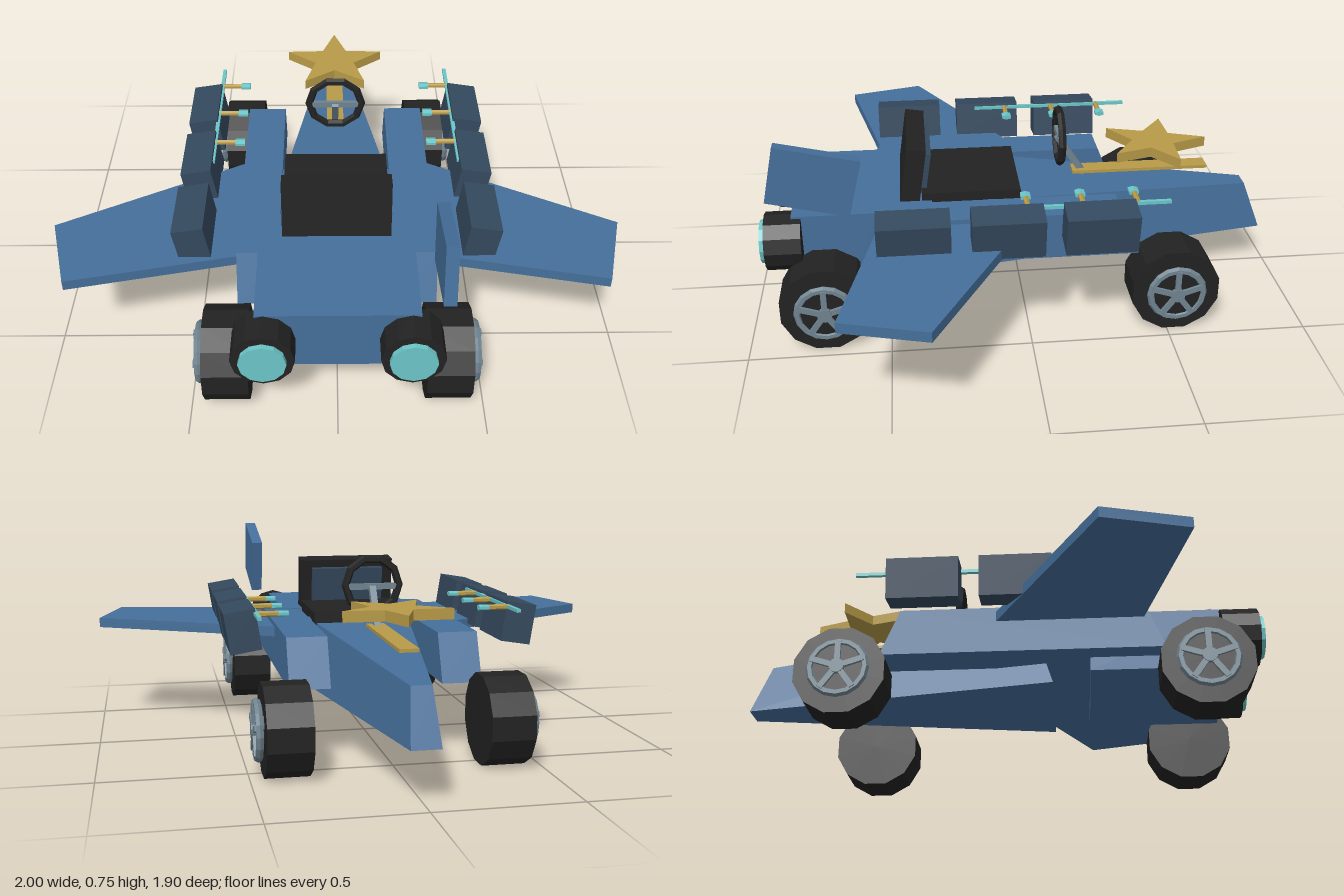
import * as THREE from 'three';

const mat = (name, color) => {
  const m = new THREE.MeshStandardMaterial({ color });
  m.name = name;
  return m;
};

export function createModel() {
  const blue = mat('body blue', 0x456f9a);
  const navy = mat('dark slate', 0x34495e);
  const black = mat('black', 0x222222);
  const teal = mat('teal', 0x6cc5c8);
  const gold = mat('gold', 0xb89b48);
  const steel = mat('steel', 0x708490);
  const root = new THREE.Group();
  root.name = 'wingedKart';

  // faceted mesh placed in a parent
  function add(name, geo, material, pos = [0, 0, 0], rot = [0, 0, 0], parent = root) {
    const g = geo.index ? geo.toNonIndexed() : geo;
    g.computeVertexNormals();
    const mesh = new THREE.Mesh(g, material);
    mesh.name = name;
    mesh.position.set(...pos);
    mesh.rotation.set(...rot);
    parent.add(mesh);
    return mesh;
  }
  const box = (w, h, d) => new THREE.BoxGeometry(w, h, d);
  const shapeOf = (pts) => new THREE.Shape(pts.map(([a, b]) => new THREE.Vector2(a, b)));
  const extrude = (pts, depth) =>
    new THREE.ExtrudeGeometry(shapeOf(pts), { depth, bevelEnabled: false });
  // side profile of [z, y] points, centred across x
  const profile = (pts, width) =>
    extrude(pts, width).translate(0, 0, -width / 2).rotateY(-Math.PI / 2);
  // plan of [x, z] points, hanging down from its top
  const plan = (pts, thick) => extrude(pts, thick).rotateX(Math.PI / 2);
  // cylinder lying along x
  const drumX = (r, len, sides) =>
    new THREE.CylinderGeometry(r, r, len, sides).rotateY(Math.PI / sides).rotateZ(Math.PI / 2);

  // tapered nose: a box with its corners pulled in
  const nose = box(2, 2, 2);
  const p = nose.attributes.position;
  for (let i = 0; i < p.count; i++) {
    const top = p.getY(i) > 0, wide = p.getZ(i) > 0;
    const half = wide ? (top ? 0.2 : 0.245) : (top ? 0.035 : 0.05);
    const y = top ? (wide ? 0.43 : 0.365) : 0.18;
    const z = wide ? (top ? 0.13 : 0.2) : (top ? -0.88 : -0.95);
    p.setXYZ(i, p.getX(i) * half, y, z);
  }
  add('nose', nose, blue);

  // main body and floor
  add('rearBody', box(0.54, 0.225, 0.5), blue, [0, 0.3225, 0.585]);
  add('floor', box(0.42, 0.16, 0.5), blue, [0, 0.34, 0.3]);

  // seat
  add('seatBase', box(0.38, 0.05, 0.36), black, [0, 0.438, 0.19]);
  const back = new THREE.Group();
  back.name = 'backrest';
  back.position.set(0, 0.525, 0.4);
  back.rotation.x = -0.15;
  root.add(back);
  add('backrestFrame', box(0.38, 0.22, 0.07), black, [0, 0, 0], [0, 0, 0], back);
  add('backrestCushion', box(0.29, 0.15, 0.025), navy, [0, 0.005, -0.045], [0, 0, 0], back);

  // steering wheel and column
  add('steeringWheel', new THREE.TorusGeometry(0.1, 0.015, 6, 10), black, [0, 0.585, -0.155]);
  add('steeringSpoke', box(0.19, 0.022, 0.015), steel, [0, 0.58, -0.155]);
  add('steeringColumn', box(0.024, 0.19, 0.024), steel, [0, 0.505, -0.2], [0.58, 0, 0]);

  // star ornament over a strip
  const star = [];
  for (let i = 0; i < 10; i++) {
    const r = i % 2 ? 0.082 : 0.2, a = (i * Math.PI) / 5;
    star.push([r * Math.sin(a), -r * Math.cos(a)]);
  }
  add('star', plan(star, 0.038), gold, [0, 0.555, -0.518]);
  add('noseStrip', box(0.066, 0.012, 0.52), gold, [0, 0.444, -0.465]);

  // single tail fin on the left
  add('tailFin', profile([[0.86, 0.75], [0.57, 0.685], [0.62, 0.478], [0.905, 0.545]], 0.042),
    blue, [0.346, 0, 0]);

  for (const s of [1, -1]) {
    // side pod and swept wing
    add('sidePod', profile([[0.6, 0.26], [0.53, 0.432], [-0.34, 0.432], [-0.41, 0.26]], 0.145),
      blue, [s * 0.272, 0, 0]);
    add('wing', plan([[0.28, -0.03], [1, 0.36], [0.92, 0.65], [0.28, 0.515]]
      .map(([x, z]) => [s * x, z]), 0.037), blue, [0, 0.415, 0]);

    // thruster
    const turn = [Math.PI / 2, 0, 0];
    add('thruster', new THREE.CylinderGeometry(0.105, 0.105, 0.13, 12), black,
      [s * 0.242, 0.33, 0.865], turn);
    add('thrusterGlow', new THREE.CylinderGeometry(0.078, 0.078, 0.03, 12), teal,
      [s * 0.242, 0.33, 0.933], turn);

    // row of leaning side boxes
    for (const z of [0.405, 0.085, -0.235])
      add('sideBox', box(0.11, 0.145, 0.25), navy, [s * 0.495, 0.46, z], [0, 0, -s * 0.16]);

    // rail with short pegs
    add('rail', box(0.014, 0.012, 0.62), teal, [s * 0.45, 0.523, -0.175]);
    for (const z of [-0.37, -0.18, 0.012]) {
      add('peg', drumX(0.01, 0.09, 6), gold, [s * 0.407, 0.522, z]);
      add('pegTip', drumX(0.02, 0.036, 6).scale(1, 0.5, 1), teal, [s * 0.357, 0.522, z]);
    }

    // wheels with spoked rims
    for (const z of [0.725, -0.525]) {
      const wheel = new THREE.Group();
      wheel.name = 'wheel';
      wheel.position.set(s * 0.375, 0.157, z);
      root.add(wheel);
      add('tire', drumX(0.162, 0.155, 12), black, [0, 0, 0], [0, 0, 0], wheel);
      add('rimBacking', drumX(0.09, 0.03, 12), black, [s * 0.085, 0, 0], [0, 0, 0], wheel);
      add('rim', new THREE.TorusGeometry(0.095, 0.014, 6, 16).rotateY(Math.PI / 2), steel,
        [s * 0.094, 0, 0], [0, 0, 0], wheel);
      add('hub', drumX(0.026, 0.03, 10), steel, [s * 0.1, 0, 0], [0, 0, 0], wheel);
      for (let i = 0; i < 5; i++)
        add('spoke', box(0.018, 0.09, 0.02).translate(0, 0.05, 0), steel,
          [s * 0.102, 0, 0], [(i * Math.PI * 2) / 5, 0, 0], wheel);
    }
  }
  return root;
}
